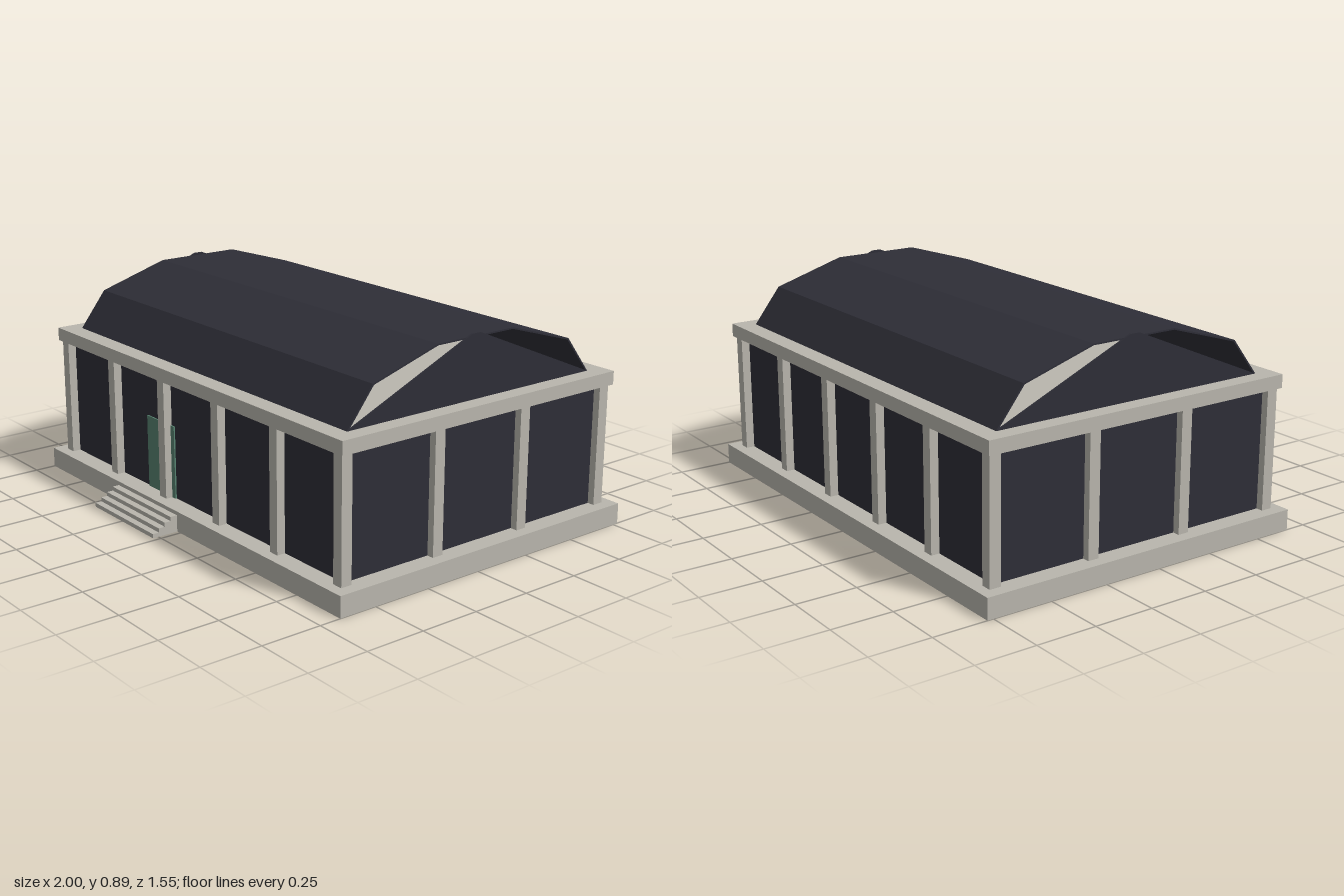
import * as THREE from 'three';

const CZ = -0.057; // the pavilion sits slightly behind the origin to leave room for the steps

function material(name, color) {
  const m = new THREE.MeshStandardMaterial({ color });
  m.name = name;
  return m;
}

export function createModel() {
  const model = new THREE.Group();
  model.name = 'pavilion';
  const stone = material('paleStone', 0xb9b6ad);
  const slate = material('darkSlate', 0x2e2e37);
  const green = material('doorGreen', 0x578270);

  const add = (name, geometry, mat) => {
    const mesh = new THREE.Mesh(geometry, mat);
    mesh.name = name;
    model.add(mesh);
    return mesh;
  };
  // box given by its extents on each axis
  const box = (name, mat, x0, x1, y0, y1, z0, z1) =>
    add(name, new THREE.BoxGeometry(x1 - x0, y1 - y0, z1 - z0), mat)
      .position.set((x0 + x1) / 2, (y0 + y1) / 2, (z0 + z1) / 2);
  // profile in the side plane, extruded along x between x0 and x1
  const sideExtrude = (name, mat, points, x0, x1) => {
    const shape = new THREE.Shape(points.map(([u, y]) => new THREE.Vector2(u, y)));
    const g = new THREE.ExtrudeGeometry(shape, { depth: x1 - x0, bevelEnabled: false });
    g.rotateY(Math.PI / 2).translate(x0, 0, CZ);
    return add(name, g, mat);
  };

  // base, walls and cornice
  box('base', stone, -1, 1, 0, 0.085, CZ - 0.718, CZ + 0.718);
  box('walls', slate, -0.92, 0.92, 0.085, 0.58, CZ - 0.638, CZ + 0.638);
  box('cornice', stone, -0.965, 0.965, 0.58, 0.635, CZ - 0.685, CZ + 0.685);

  // entrance steps
  for (let i = 0; i < 4; i++) {
    box('step', stone, -0.455, -0.02, i * 0.0172, (i + 1) * 0.0172, 0.65, 0.775 - i * 0.028);
  }

  // door plate on the front wall
  box('door', green, -0.335, -0.14, 0.085, 0.39, CZ + 0.636, CZ + 0.644);

  // pillars all round the walls
  const pillar = (x, z) =>
    box('pillar', stone, x - 0.0225, x + 0.0225, 0.085, 0.58, CZ + z - 0.0235, CZ + z + 0.0235);
  for (let i = 0; i < 6; i++) {
    for (const side of [-1, 1]) pillar(-0.9275 + i * 0.371, side * 0.65);
  }
  for (const side of [-1, 1]) {
    for (const z of [-0.216, 0.216]) pillar(side * 0.9275, z);
  }

  // faceted vault: thin shell open at both ends
  const half = [[0.608, 0.635], [0.492, 0.785], [0.188, 0.877]];
  const inner = [[0.6, 0.635], [0.487, 0.78], [0.187, 0.871]];
  const arch = (pts) => [...pts, ...pts.map(([u, y]) => [-u, y]).reverse()];
  sideExtrude('roofVault', slate, [...arch(half), ...arch(inner).reverse()], -0.895, 0.895);

  // triangular gable plate at each end
  for (const side of [-1, 1]) {
    const x = side * 0.893;
    sideExtrude('gable', slate, [[0.606, 0.635], [0.02, 0.887], [-0.02, 0.887], [-0.606, 0.635]].reverse(),
      x - 0.004, x + 0.004);
  }

  return model;
}
